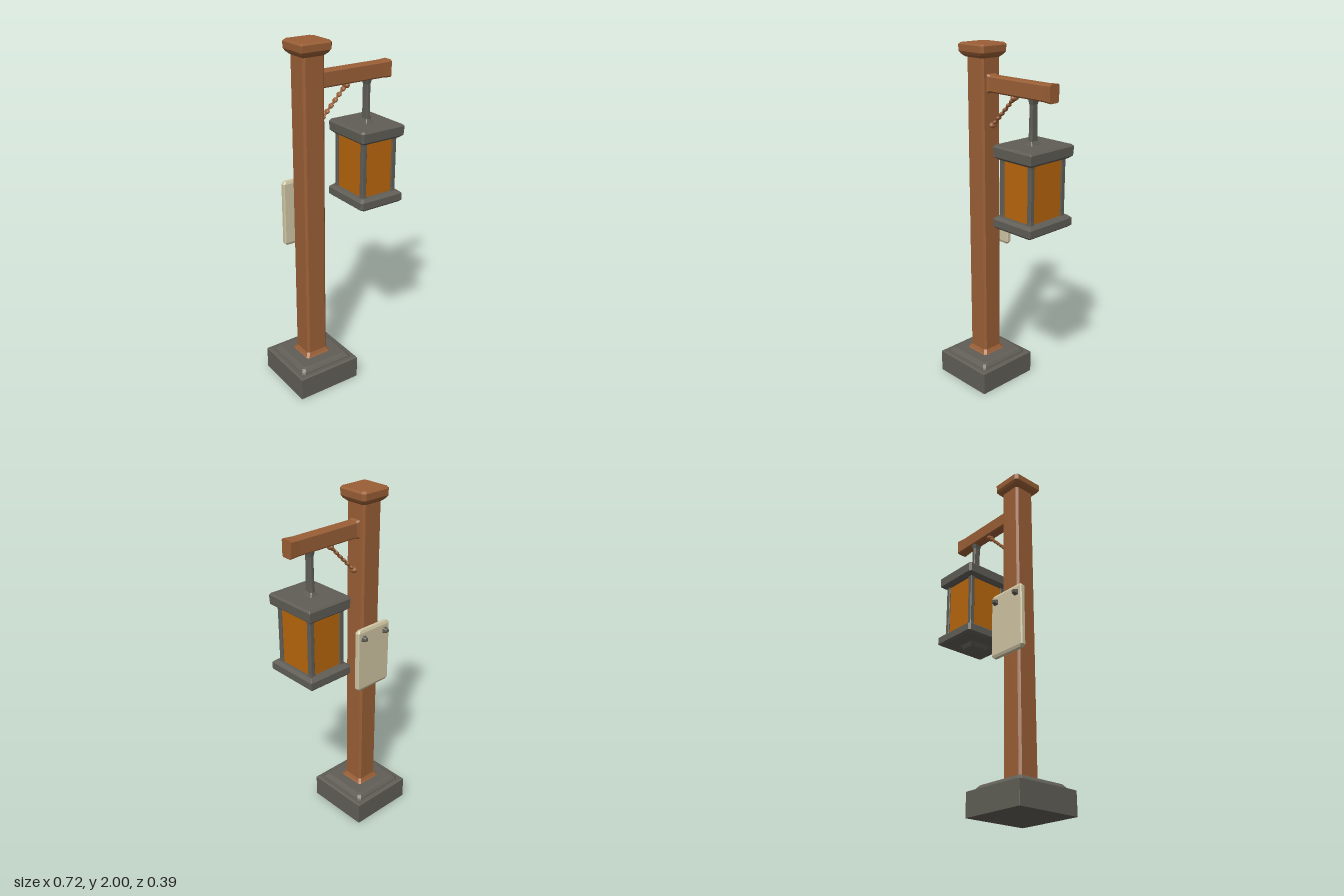
import * as THREE from 'three';

const mat = (name, color) => {
  const m = new THREE.MeshStandardMaterial({ color });
  m.name = name;
  return m;
};

// Stacks chamfered rectangles [halfX, halfZ, y] into a faceted solid.
// Chamfers are per corner: (+x+z), (-x+z), (-x-z), (+x-z).
function loft(rings, chamfers) {
  const corners = [[1, 1], [-1, 1], [-1, -1], [1, -1]];
  const pos = [], index = [], n = 8;
  for (const [hx, hz, y] of rings) {
    corners.forEach(([sx, sz], i) => {
      const c = chamfers[i];
      const pair = [[sx * hx, y, sz * (hz - c)], [sx * (hx - c), y, sz * hz]];
      if (sx * sz < 0) pair.reverse();
      pos.push(...pair[0], ...pair[1]);
    });
  }
  const last = rings.length - 1;
  pos.push(0, rings[0][2], 0, 0, rings[last][2], 0);
  const bottom = rings.length * n, top = bottom + 1;
  for (let k = 0; k < n; k++) {
    const k2 = (k + 1) % n;
    for (let i = 0; i < last; i++) {
      const a = i * n + k, b = i * n + k2;
      index.push(a, a + n, b + n, a, b + n, b);
    }
    index.push(bottom, k, k2, top, last * n + k2, last * n + k);
  }
  const g = new THREE.BufferGeometry();
  g.setAttribute('position', new THREE.Float32BufferAttribute(pos, 3));
  g.setIndex(index);
  const flat = g.toNonIndexed();
  flat.computeVertexNormals();
  return flat;
}

export function createModel() {
  const root = new THREE.Group();
  root.name = 'lanternPost';
  const wood = mat('wood', 0x9a5f36);
  const iron = mat('darkStone', 0x605e56);
  const glow = mat('amberGlass', 0xb8660c);
  const paper = mat('parchment', 0xcfc5a3);

  const add = (name, geometry, material, x = 0, y = 0, z = 0, parent = root) => {
    const m = new THREE.Mesh(geometry, material);
    m.name = name;
    m.position.set(x, y, z);
    parent.add(m);
    return m;
  };
  const even = c => [c, c, c, c];
  const square = list => list.map(([h, y]) => [h, h, y]);
  const px = -0.165;

  // Stepped foot
  add('footBlock', loft(square([[0.195, 0], [0.195, 0.13], [0.185, 0.135]]), even(0.001)), iron, px);
  add('footStep', loft(square([[0.17, 0.13], [0.165, 0.145], [0.152, 0.16], [0.14, 0.165]]), even(0.014)), iron, px);

  // Post with flared foot and cap
  add('post', loft(square([[0.085, 0.16], [0.075, 0.172], [0.065, 0.19], [0.065, 1.94]]), even(0.012)), wood, px);
  add('postCap', loft(square([[0.068, 1.925], [0.085, 1.94], [0.094, 1.955], [0.095, 1.99], [0.086, 2]]),
    [0.015, 0.002, 0.015, 0.015]), wood, px);

  // Arm reaching to the side, slightly flared at both ends
  const arm = add('arm', loft([[0.055, 0.04, -0.11], [0.045, 0.031, -0.085], [0.045, 0.031, 0.3], [0.048, 0.034, 0.355]],
    even(0.008)), wood, 0, 1.79, 0);
  arm.rotation.z = -Math.PI / 2;

  // Knotted brace under the arm
  const brace = new THREE.Group();
  brace.name = 'brace';
  root.add(brace);
  const from = new THREE.Vector3(-0.09, 1.565, 0), to = new THREE.Vector3(0.075, 1.735, 0);
  const length = from.distanceTo(to);
  brace.position.copy(from);
  brace.rotation.z = Math.atan2(from.x - to.x, to.y - from.y);
  const cord = add('cord', new THREE.CylinderGeometry(0.005, 0.005, length, 6), wood, 0, length / 2, 0, brace);
  cord.scale.z = 2;
  for (let i = 0; i < 6; i++) {
    const bead = add('braceKnot', new THREE.SphereGeometry(1, 8, 6), wood, 0, length * (i + 0.7) / 6.4, 0, brace);
    bead.scale.set(0.01, 0.016, 0.019);
  }
  for (const y of [0, length]) {
    const end = add('braceEnd', new THREE.SphereGeometry(1, 8, 6), wood, 0, y, 0, brace);
    end.scale.set(0.018, 0.018, 0.028);
  }

  // Hanging lantern
  const lantern = new THREE.Group();
  lantern.name = 'lantern';
  lantern.position.x = 0.2125;
  root.add(lantern);
  add('hanger', loft([[0.03, 0.04, 1.505], [0.014, 0.025, 1.53], [0.012, 0.022, 1.6], [0.012, 0.022, 1.72], [0.018, 0.027, 1.748]],
    even(0.004)), iron, 0, 0, 0, lantern);
  const plateCorners = [0.002, 0.012, 0.012, 0.002];
  add('lanternRoof', loft([[0.122, 0.142, 1.435], [0.14, 0.16, 1.45], [0.143, 0.162, 1.5], [0.134, 0.154, 1.51]],
    plateCorners), iron, 0, 0, 0, lantern);
  add('lanternFloor', loft([[0.128, 0.15, 1.053], [0.143, 0.162, 1.065], [0.143, 0.162, 1.105], [0.125, 0.145, 1.12]],
    plateCorners), iron, 0, 0, 0, lantern);
  add('lanternGlass', new THREE.BoxGeometry(0.214, 0.34, 0.244), glow, 0, 1.28, 0, lantern);
  for (const sx of [-1, 1]) for (const sz of [-1, 1]) {
    add('lanternCornerBar', loft([[0.017, 0.017, 1.1], [0.014, 0.014, 1.14], [0.014, 0.014, 1.42], [0.017, 0.017, 1.45]],
      even(0.003)), iron, sx * 0.101, 0, sz * 0.116, lantern);
  }
  add('lanternFinial', loft([[0.032, 0.04, 1.022], [0.045, 0.055, 1.03], [0.06, 0.07, 1.056]],
    even(0.01)), iron, 0, 0, 0, lantern);

  // Notice on the back of the post, held by two nails
  add('notice', loft([[0.108, 0.01, 0.86], [0.12, 0.016, 0.875], [0.12, 0.016, 1.225], [0.108, 0.01, 1.24]],
    even(0.006)), paper, px, 0, -0.08);
  for (const s of [-1, 1]) {
    const nail = add('noticeNail', loft([[0.017, 0.017, 0], [0.009, 0.009, 0.028]], even(0.003)), iron, px + s * 0.081, 1.19, -0.093);
    nail.rotation.x = -Math.PI / 2;
  }

  return root;
}
